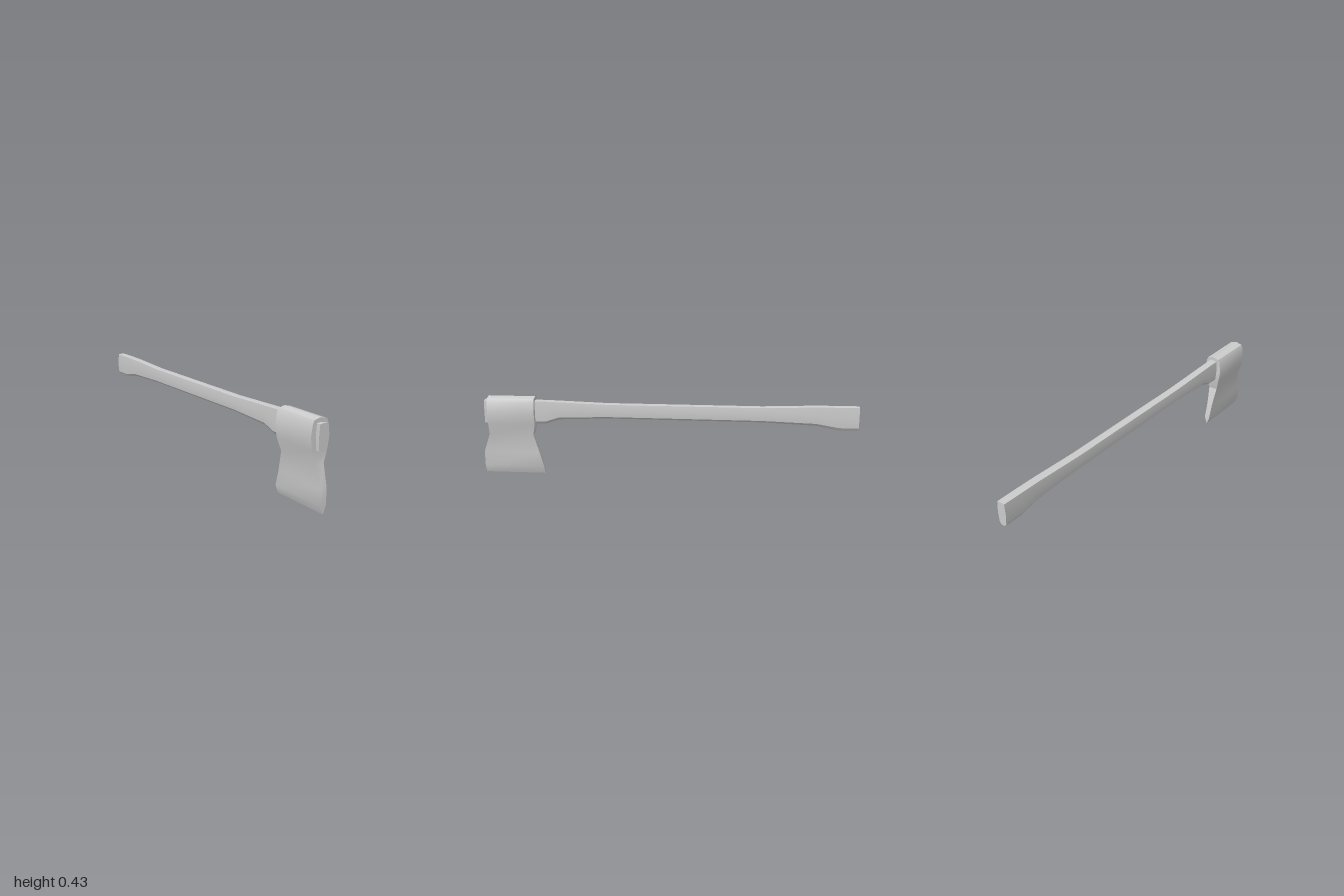
import * as THREE from 'three';
import { toCreasedNormals } from 'three/addons/utils/BufferGeometryUtils.js';

// Skins a stack of rings (counter-clockwise seen from the far end) and closes both ends.
function loft(rings, crease) {
  const out = [];
  const tri = (a, b, c) => {
    if (new THREE.Triangle(a, b, c).getArea() > 1e-7) {
      for (const p of [a, b, c]) out.push(p.x, p.y, p.z);
    }
  };
  const n = rings[0].length;
  for (let i = 0; i < rings.length - 1; i++) {
    for (let j = 0; j < n; j++) {
      const k = (j + 1) % n;
      tri(rings[i][j], rings[i][k], rings[i + 1][k]);
      tri(rings[i][j], rings[i + 1][k], rings[i + 1][j]);
    }
  }
  const first = rings[0];
  const last = rings[rings.length - 1];
  for (let j = 1; j < n - 1; j++) {
    tri(first[0], first[j + 1], first[j]);
    tri(last[0], last[j], last[j + 1]);
  }
  const geometry = new THREE.BufferGeometry();
  geometry.setAttribute('position', new THREE.Float32BufferAttribute(out, 3));
  return toCreasedNormals(geometry, crease);
}

const v = (x, y, z) => new THREE.Vector3(x, y, z);

// Handle section: ridged top, bulged sides, chamfered bottom.
function handleRing([z, bottom, top, bottomHalf, chamfer]) {
  const half = [
    [0.021, top - 0.003],
    [0.025, top - (top - bottom) * 0.5],
    [0.021, bottom + chamfer],
    [bottomHalf, bottom],
  ];
  return [
    v(0, top, z),
    ...half.map(([x, y]) => v(-x, y, z)),
    ...half.reverse().map(([x, y]) => v(x, y, z)),
  ];
}

export function createModel() {
  const group = new THREE.Group();
  const material = new THREE.MeshStandardMaterial({ color: 0xcccccc });
  const add = (name, geometry) => {
    const mesh = new THREE.Mesh(geometry, material);
    mesh.name = name;
    group.add(mesh);
  };

  // Handle stations from butt to tip: z, bottom, top, bottom half width, chamfer
  const stations = [
    [-1, 0.283, 0.411, 0.011, 0.016],
    [-0.9, 0.283, 0.411, 0.011, 0.016],
    [-0.78, 0.307, 0.41, 0.011, 0.012],
    [-0.5, 0.318, 0.4, 0.011, 0.01],
    [0.32, 0.32, 0.4, 0.011, 0.01],
    [0.58, 0.309, 0.408, 0.011, 0.012],
    [0.65, 0.284, 0.41, 0.011, 0.014],
    [0.72, 0.284, 0.411, 0.013, 0.012],
    [0.94, 0.284, 0.41, 0.019, 0.001],
    [0.985, 0.284, 0.41, 0.019, 0.001],
  ];
  add('handle', loft(stations.map(handleRing), 0.4));

  // Head rows from cutting edge to top: y, half width, back z, front z
  const rows = [
    [0, 0, 0.672, 1],
    [0.04, 0.015, 0.672, 1],
    [0.12, 0.016, 0.694, 1],
    [0.222, 0.025, 0.722, 0.963],
    [0.285, 0.042, 0.708, 0.963],
    [0.345, 0.051, 0.708, 0.963],
    [0.405, 0.043, 0.708, 0.963],
    [0.423, 0.034, 0.708, 0.963],
    [0.431, 0, 0.708, 0.963],
  ];
  const headRings = rows.map(([y, w, back, front]) => [
    v(w, y, front), v(w, y, back), v(-w, y, back), v(-w, y, front),
  ]);
  add('axeHead', loft(headRings, 0.36));

  return group;
}
